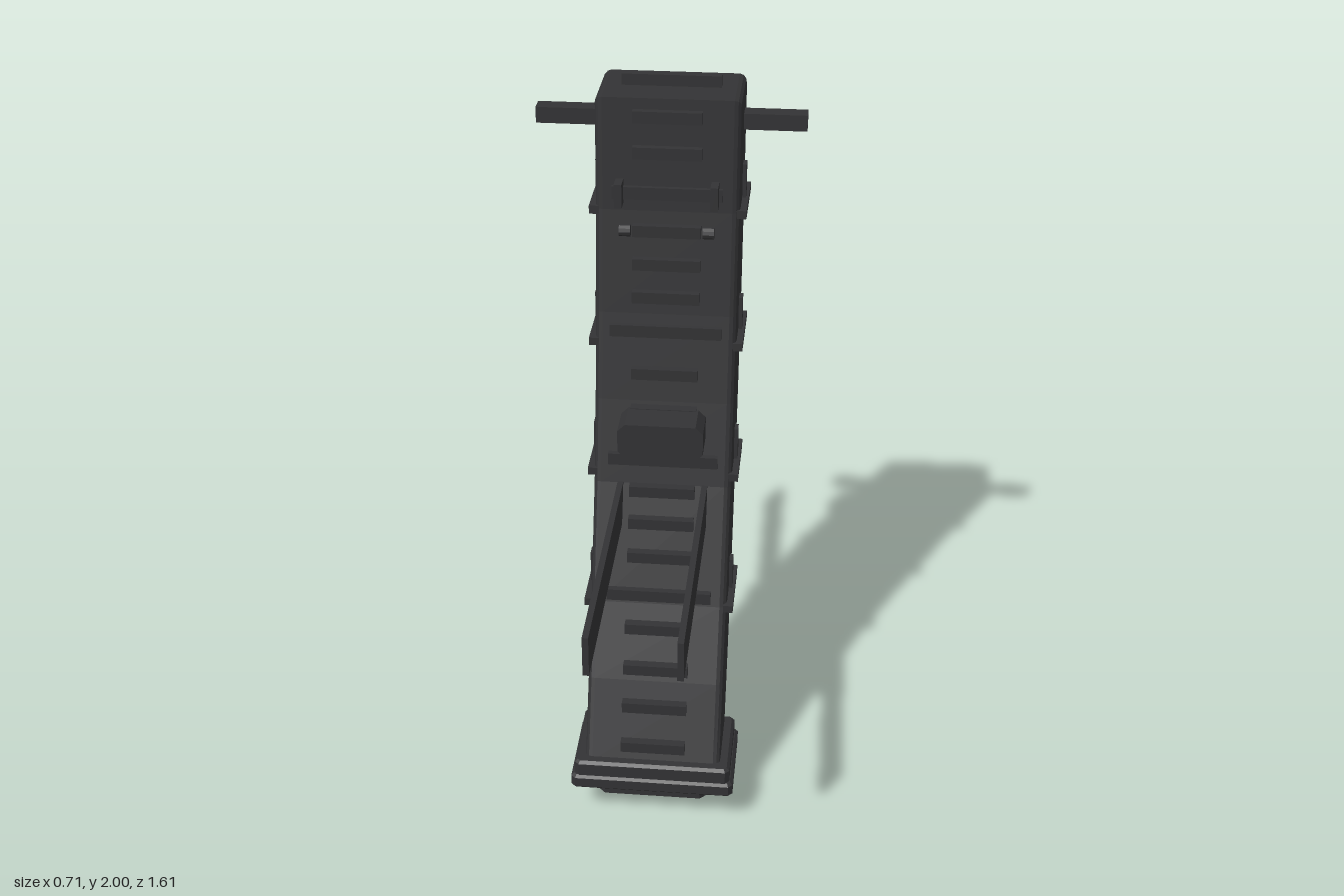
import * as THREE from 'three';

// Curved outline as [z, y], bottom to top
const FRONT = [[0.365, 0.18], [0.275, 0.4], [0.185, 0.6], [0.07, 0.92], [0.015, 1.15], [-0.03, 1.39], [-0.067, 1.67], [-0.083, 1.97]];
const BACK = [[0.16, 0.18], [0.065, 0.38], [-0.025, 0.58], [-0.14, 0.92], [-0.198, 1.15], [-0.25, 1.39], [-0.285, 1.66], [-0.3, 1.97]];

// z on an outline at height y
function zAt(line, y) {
  for (let i = 1; i < line.length; i++) {
    const [z0, y0] = line[i - 1], [z1, y1] = line[i];
    if (y <= y1 || i === line.length - 1) return z0 + (z1 - z0) * (y - y0) / (y1 - y0);
  }
}

export function createModel() {
  const model = new THREE.Group();
  const mat = new THREE.MeshStandardMaterial({ color: 0x333335, flatShading: true });

  const add = (name, geo, x = 0, y = 0, z = 0) => {
    const mesh = new THREE.Mesh(geo, mat);
    mesh.name = name;
    mesh.position.set(x, y, z);
    model.add(mesh);
    return mesh;
  };
  // Box given by its limits
  const box = (name, x0, x1, y0, y1, z0, z1) =>
    add(name, new THREE.BoxGeometry(x1 - x0, y1 - y0, z1 - z0), (x0 + x1) / 2, (y0 + y1) / 2, (z0 + z1) / 2);
  // Rectangle with cut corners
  const cutRect = (hw, hh, c) => new THREE.Shape([
    [-hw + c, -hh], [hw - c, -hh], [hw, -hh + c], [hw, hh - c],
    [hw - c, hh], [-hw + c, hh], [-hw, hh - c], [-hw, -hh + c],
  ].map(p => new THREE.Vector2(...p)));
  // Horizontal plate with cut corners and bevelled rims
  const plate = (name, hw, y0, y1, z0, z1, cut, bevel) => {
    const geo = new THREE.ExtrudeGeometry(cutRect(hw, (z1 - z0) / 2, cut), {
      depth: y1 - y0 - 2 * bevel, bevelEnabled: bevel > 0, bevelSize: bevel,
      bevelThickness: bevel, bevelOffset: -bevel, bevelSegments: 1,
    });
    geo.translate(0, 0, bevel).rotateX(-Math.PI / 2);
    add(name, geo, 0, y0, (z0 + z1) / 2);
  };

  // Curved body with rounded long edges
  const outline = new THREE.Shape([...BACK, ...FRONT.slice().reverse()].map(p => new THREE.Vector2(...p)));
  const b = 0.02;
  const bodyGeo = new THREE.ExtrudeGeometry(outline, {
    depth: 0.38 - 2 * b, bevelEnabled: true, bevelSize: b, bevelThickness: b, bevelOffset: -b, bevelSegments: 3,
  });
  bodyGeo.translate(0, 0, -0.19 + b).rotateY(-Math.PI / 2);
  add('body', bodyGeo);

  // Short ribs down the front
  for (const y of [1.925, 1.83, 1.62, 1.53, 1.44, 1.23, 1.03, 0.905, 0.82, 0.73, 0.54, 0.435, 0.335, 0.23]) {
    const z = zAt(FRONT, y);
    box('frontRib', -0.09, 0.09, y - 0.016, y + 0.016, z - 0.02, z + 0.018);
  }
  // Wide front bands
  for (const [y, hw] of [[1.72, 0.145], [1.345, 0.15], [0.99, 0.15], [0.625, 0.145]]) {
    const z = zAt(FRONT, y);
    box('frontBand', -hw, hw, y - 0.017, y + 0.017, z - 0.02, z + 0.012);
  }

  // T-shaped ridges on both sides
  for (const y of [1.655, 1.295, 0.935, 0.585]) {
    const zf = zAt(FRONT, y), zb = zAt(BACK, y), zm = (zf + zb) / 2;
    for (const s of [-1, 1]) {
      const side = (name, y0, y1, z0, z1, out) =>
        box(name, Math.min(s * 0.18, s * out), Math.max(s * 0.18, s * out), y0, y1, z0, z1);
      side('sideBar', y, y + 0.022, zb + 0.005, zf - 0.005, 0.207);
      side('sideBarCentre', y - 0.02, y + 0.002, zm - 0.065, zm + 0.06, 0.203);
      const stemZ = zm - 0.005 - (zf - zAt(FRONT, y - 0.05)) * 0.1;
      side('sideStem', y + 0.02, y + 0.115, stemZ - 0.016, stemZ + 0.016, 0.2);
    }
  }

  // Front tabs, pegs, thin rails and the loose plates behind the body
  for (const s of [-1, 1]) {
    box('frontTab', s * 0.125 - 0.01, s * 0.125 + 0.01, 1.69, 1.755, -0.08, -0.025);
    add('frontPeg', new THREE.CylinderGeometry(0.016, 0.016, 0.03, 10).rotateZ(Math.PI / 2), s * 0.11, 1.62, -0.05);
    box('longRail', s * 0.116 - 0.008, s * 0.116 + 0.008, 0.81, 0.922, -0.805, 0.805);
    for (const [y0, y1] of [[0.56, 0.622], [0.186, 0.25]])
      box('rearPlate', s * 0.128 - 0.006, s * 0.128 + 0.006, y0, y1, -0.117, -0.026);
    add('rearPin', new THREE.CylinderGeometry(0.017, 0.017, 0.03, 12).rotateZ(Math.PI / 2), s * 0.128, 0.488, -0.053);
  }

  // Front block with cut corners
  add('frontBlock', new THREE.ExtrudeGeometry(cutRect(0.115, 0.051, 0.02), { depth: 0.1, bevelEnabled: false }), 0, 1.087, 0.035);
  box('frontBlockBase', -0.09, 0.09, 1.02, 1.14, 0, 0.045);

  // Cross bar and top ridge
  box('crossBar', -0.355, 0.355, 1.865, 1.908, -0.212, -0.165);
  box('topRidge', -0.13, 0.13, 1.96, 2, -0.203, -0.181);

  // Stepped base
  plate('baseUpper', 0.218, 0.135, 0.19, 0.138, 0.39, 0.012, 0.008);
  plate('baseLower', 0.228, 0.1, 0.145, 0.132, 0.397, 0.012, 0.008);
  plate('basePlate', 0.165, 0.068, 0.105, 0.16, 0.37, 0.03, 0);
  plate('basePlateLower', 0.145, 0.055, 0.07, 0.19, 0.34, 0.025, 0);
  box('baseKnob', -0.085, 0.085, 0, 0.06, 0.245, 0.285);

  return model;
}
